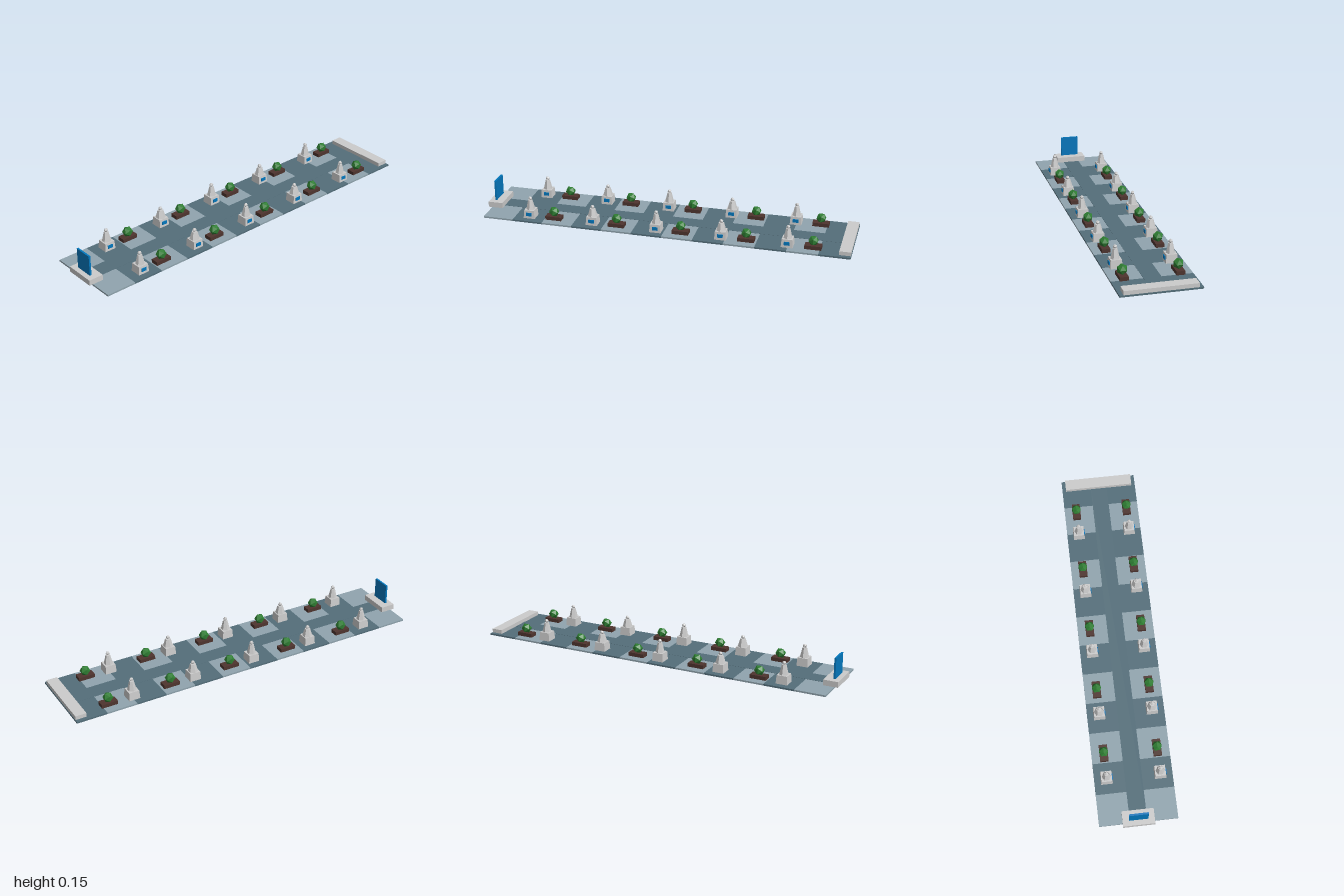
import * as THREE from 'three';

const mat = (color) => new THREE.MeshStandardMaterial({ color, flatShading: true });
const grey = mat(0xcccccc);
const darkFloor = mat(0x546e7a);
const lightFloor = mat(0x90a4ae);
const blue = mat(0x0277bd);
const soil = mat(0x4e342e);
const green = mat(0x2e7d32);

function add(parent, name, geometry, material, x, y, z) {
  const mesh = new THREE.Mesh(geometry, material);
  mesh.name = name;
  mesh.position.set(x, y, z);
  parent.add(mesh);
  return mesh;
}

// Box given by its centre in plan and its bottom height
function box(parent, name, material, w, h, d, x, y, z) {
  return add(parent, name, new THREE.BoxGeometry(w, h, d), material, x, y + h / 2, z);
}

// Robed figure on a tapered pedestal with a plaque facing the front
function statue(tall) {
  const g = new THREE.Group();
  g.name = 'statue';
  const pedestal = new THREE.CylinderGeometry(0.028 * Math.SQRT2, 0.031 * Math.SQRT2, 0.045, 4);
  pedestal.rotateY(Math.PI / 4);
  add(g, 'pedestal', pedestal, grey, 0, 0.0315, 0);
  box(g, 'plaque', blue, 0.03, 0.018, 0.004, 0, 0.023, 0.031);
  const bodyHeight = tall ? 0.052 : 0.042;
  add(g, 'robe', new THREE.CylinderGeometry(tall ? 0.012 : 0.015, tall ? 0.024 : 0.027, bodyHeight, 6),
    grey, 0, 0.054 + bodyHeight / 2, 0);
  add(g, 'head', new THREE.IcosahedronGeometry(0.011, 0), grey, 0, 0.054 + bodyHeight + 0.009, 0);
  return g;
}

// Trough with a faceted bush
function planter() {
  const g = new THREE.Group();
  g.name = 'planter';
  box(g, 'trough', soil, 0.088, 0.02, 0.044, 0, 0.009, 0);
  add(g, 'bush', new THREE.IcosahedronGeometry(0.028, 0), green, 0, 0.052, 0);
  return g;
}

export function createModel() {
  const root = new THREE.Group();
  root.name = 'statueAvenue';

  // Alternating floor slabs and the central walkway
  const slab = 0.165;
  for (let i = 0; i < 12; i++) {
    box(root, 'floorSlab', i % 2 ? darkFloor : lightFloor, slab, 0.009, 0.41, -0.98 + slab * (i + 0.5), 0, 0);
  }
  box(root, 'walkway', darkFloor, 1.95, 0.002, 0.09, 0.005, 0.008, 0);

  // Entrance plinth with its upright panel, and the low step at the far end
  box(root, 'entrancePlinth', grey, 0.08, 0.03, 0.166, -0.96, 0.009, 0);
  box(root, 'entrancePanel', blue, 0.01, 0.112, 0.1, -0.968, 0.038, 0);
  box(root, 'endStep', grey, 0.06, 0.021, 0.37, 0.968, 0.009, 0);

  // Two rows of statues and planters
  for (const z of [-0.14, 0.14]) {
    for (let i = 0; i < 5; i++) {
      const s = statue(i % 2 === 0);
      s.position.set(-0.733 + i * 0.35, 0, z);
      const p = planter();
      p.position.set(-0.6 + i * 0.35, 0, z);
      root.add(s, p);
    }
  }
  return root;
}
